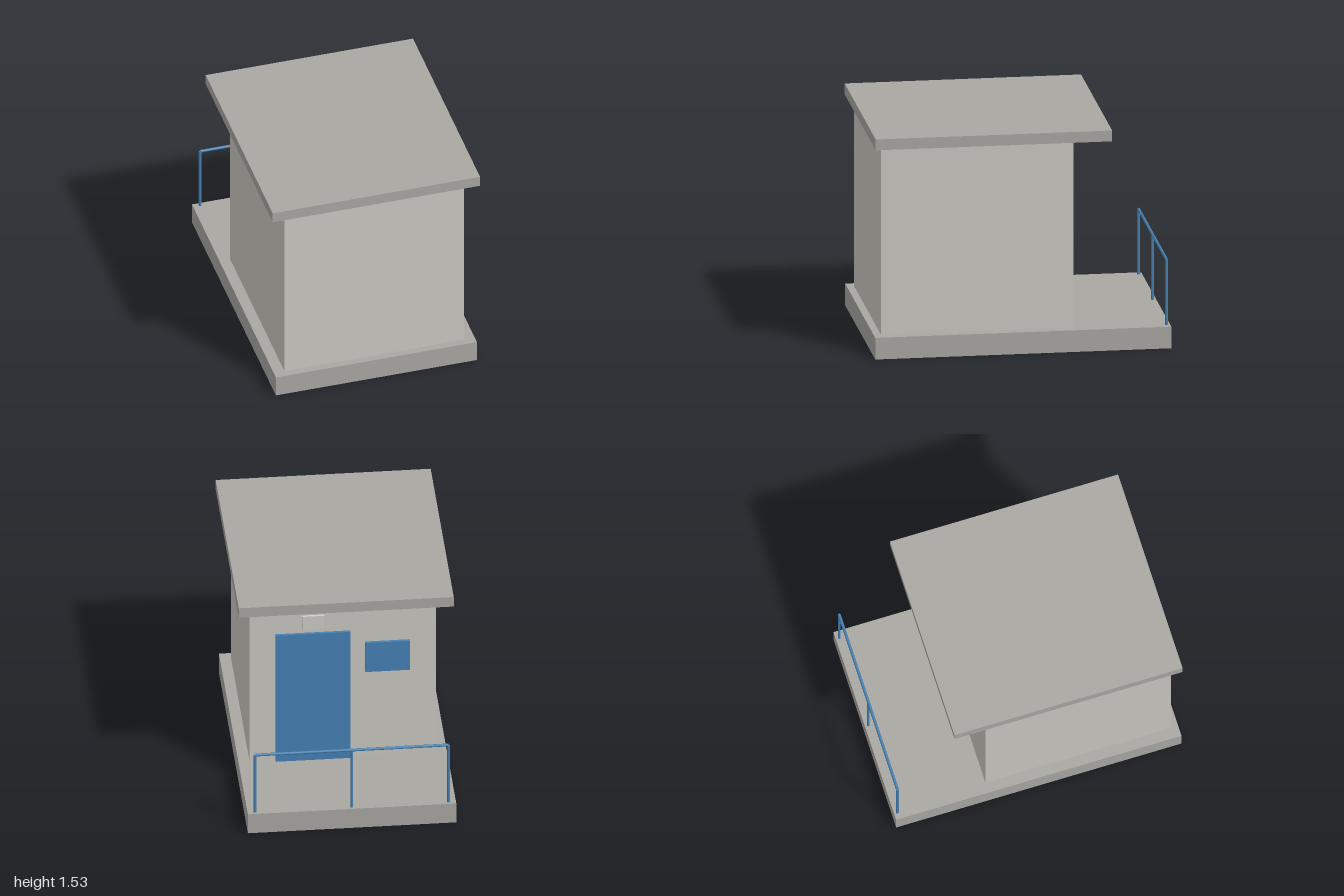
import * as THREE from 'three';

export function createModel() {
  const model = new THREE.Group();
  model.name = 'utilityHut';

  const material = (name, color) => {
    const m = new THREE.MeshStandardMaterial({ color });
    m.name = name;
    return m;
  };
  const concrete = material('concrete grey', 0xa8a7a2);
  const plaster = material('pale wall', 0xc9c7c0);
  const blue = material('steel blue', 0x4682b4);
  const plate = material('plate grey', 0xd0cbc6);

  // Box given by its extents along each axis
  const box = (name, mat, [x0, x1], [y0, y1], [z0, z1]) => {
    const mesh = new THREE.Mesh(new THREE.BoxGeometry(x1 - x0, y1 - y0, z1 - z0), mat);
    mesh.position.set((x0 + x1) / 2, (y0 + y1) / 2, (z0 + z1) / 2);
    mesh.name = name;
    model.add(mesh);
  };

  // Building
  box('baseSlab', concrete, [-0.7, 0.7], [0, 0.15], [-1, 1]);
  box('walls', plaster, [-0.625, 0.625], [0.15, 1.455], [-0.35, 0.95]);
  box('roofSlab', concrete, [-0.722, 0.722], [1.455, 1.53], [-0.597, 1]);

  // Fittings on the entrance wall
  box('door', blue, [-0.05, 0.45], [0.15, 1.15], [-0.37, -0.35]);
  box('window', blue, [-0.45, -0.15], [0.825, 1.055], [-0.37, -0.35]);
  box('signPlate', plate, [0.125, 0.275], [1.2, 1.3], [-0.387, -0.37]);

  // Railing along the edge of the porch
  const railing = new THREE.Group();
  railing.name = 'railing';
  railing.position.z = -0.975;
  const bar = (name, length, x, y) => {
    const mesh = new THREE.Mesh(new THREE.CylinderGeometry(0.01, 0.01, length, 8), blue);
    mesh.position.set(x, y, 0);
    mesh.name = name;
    railing.add(mesh);
    return mesh;
  };
  for (const x of [-0.65, 0, 0.65]) bar('railingPost', 0.45, x, 0.375);
  bar('handrail', 1.3, 0, 0.602).rotation.z = Math.PI / 2;
  model.add(railing);

  return model;
}
